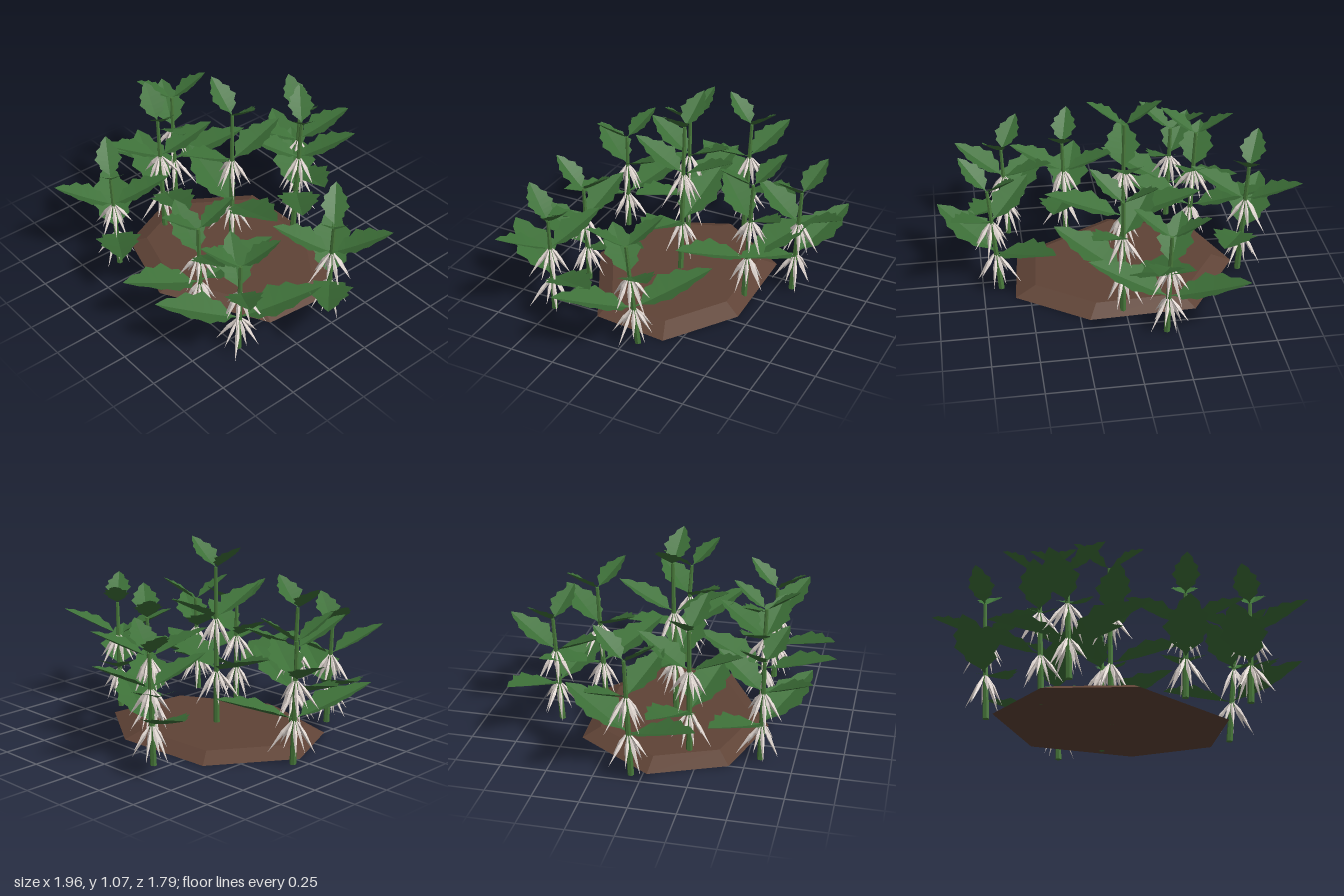
import * as THREE from 'three';

const material = (color) => new THREE.MeshStandardMaterial({
  color, flatShading: true, side: THREE.DoubleSide, roughness: 1,
});
const leafMat = material(0x3d7038);
const stemMat = material(0x47783a);
const spikeMat = material(0xe6dcd6);
const soilMat = material(0x5f4336);

// Toothed outline of half a leaf: [position along midrib, half width]
const OUTLINE = [[0, 0], [0.1, 0.1], [0.22, 0.68], [0.31, 0.66], [0.42, 1],
  [0.54, 0.74], [0.63, 0.82], [0.74, 0.48], [0.85, 0.4], [1, 0]];

// Leaf pointing along +x, rising to its tip and folded up along the midrib
function leafGeometry(length, width, rise) {
  const point = (i, side) => {
    const [t, w] = OUTLINE[i];
    const h = w * width / 2;
    const out = side === 0 ? 0 : h;
    return [t * length - out * 0.1, rise * Math.pow(t, 1.15) + out * 0.3, side * out];
  };
  const pos = [];
  for (const side of [1, -1]) {
    for (let i = 0; i < OUTLINE.length - 1; i++) {
      const a = point(i, 0), b = point(i + 1, 0), c = point(i + 1, side), d = point(i, side);
      const quad = side > 0 ? [a, d, c, a, c, b] : [a, c, d, a, b, c];
      pos.push(...quad.flat());
    }
  }
  const geo = new THREE.BufferGeometry();
  geo.setAttribute('position', new THREE.Float32BufferAttribute(pos, 3));
  geo.computeVertexNormals();
  return geo;
}

// Leaf pairs from bottom to top: height as a share of the stem, turn, spikes below
const TIERS = [
  { at: 0.38, turn: 0, spikes: 8, geo: leafGeometry(0.43, 0.25, 0.15) },
  { at: 0.70, turn: Math.PI / 2, spikes: 8, geo: leafGeometry(0.31, 0.2, 0.15) },
  { at: 1.00, turn: 0, spikes: 0, geo: leafGeometry(0.2, 0.15, 0.14) },
];

// Hanging spindle with its narrow end at the origin
const spikeGeo = new THREE.LatheGeometry(
  [[0, -0.2], [0.012, -0.08], [0.002, 0]].map(([x, y]) => new THREE.Vector2(x, y)), 4);

// Plants: base x, base z, lean x, lean z, stem height, direction of lowest leaf (x, z)
const PLANTS = [
  [-0.19, -0.58, -0.01, -0.03, 0.61, -0.39, -0.15],
  [0.015, -0.38, 0.005, -0.04, 0.72, 0.35, 0.27],
  [-0.69, -0.06, -0.03, -0.02, 0.67, 0.19, -0.39],
  [-0.45, 0.20, -0.03, 0.0, 0.75, 0.40, 0.13],
  [-0.04, 0.04, -0.01, -0.02, 0.93, 0.42, 0.04],
  [0.65, -0.06, 0.05, 0.03, 0.61, 0.30, 0.30],
  [-0.39, 0.57, -0.02, 0.01, 0.58, 0.38, 0.22],
  [0.23, 0.48, 0.01, 0.01, 0.58, -0.10, 0.40],
  [0.57, 0.50, 0.02, 0.0, 0.56, -0.22, 0.37],
];

function makePlant([x, z, leanX, leanZ, height, dirX, dirZ], index) {
  const plant = new THREE.Group();
  plant.name = 'plant';
  plant.position.set(x, 0, z);
  const along = (t) => new THREE.Vector3(leanX * t, height * t, leanZ * t);

  // Leaning stem
  const stemGeo = new THREE.CylinderGeometry(0.01, 0.018, height, 6);
  stemGeo.translate(0, height / 2, 0);
  const p = stemGeo.attributes.position;
  for (let i = 0; i < p.count; i++) {
    const t = p.getY(i) / height;
    p.setX(i, p.getX(i) + leanX * t);
    p.setZ(i, p.getZ(i) + leanZ * t);
  }
  const stem = new THREE.Mesh(stemGeo, stemMat);
  stem.name = 'stem';
  plant.add(stem);

  const heading = Math.atan2(-dirZ, dirX);
  for (const tier of TIERS) {
    const whorl = new THREE.Group();
    whorl.name = 'leafTier';
    whorl.position.copy(along(tier.at));
    whorl.rotation.y = heading + tier.turn;

    // Opposite pair of leaves
    for (const turn of [0, Math.PI]) {
      const leaf = new THREE.Mesh(tier.geo, leafMat);
      leaf.name = 'leaf';
      leaf.rotation.y = turn;
      whorl.add(leaf);
    }

    // Pale drooping spikes around the stem
    for (let i = 0; i < tier.spikes; i++) {
      const arm = new THREE.Group();
      arm.name = 'spikeArm';
      arm.rotation.y = (i + 0.3 * (index % 3)) / tier.spikes * Math.PI * 2;
      const spike = new THREE.Mesh(spikeGeo, spikeMat);
      spike.name = 'flowerSpike';
      spike.position.set(0.008, -0.005, 0);
      spike.rotation.z = [0.62, 0.38, 0.5][(i + index) % 3];
      spike.scale.y = [0.9, 1.1, 0.8, 1][(i + index) % 4];
      arm.add(spike);
      whorl.add(arm);
    }
    plant.add(whorl);
  }
  return plant;
}

// Low seven-sided soil patch with sloping rim
function makeSoil() {
  const rim = [[0.54, 0.25], [0.58, -0.17], [0.2, -0.43], [-0.38, -0.41],
    [-0.67, 0.02], [-0.5, 0.42], [-0.03, 0.56]];
  const cx = -0.045, cz = 0.07, h = 0.045, inner = 0.82;
  const pos = [];
  rim.forEach(([ax, az], i) => {
    const [bx, bz] = rim[(i + 1) % rim.length];
    const top = (x, z) => [cx + (x - cx) * inner, h, cz + (z - cz) * inner];
    const a = [ax, 0, az], b = [bx, 0, bz], ta = top(ax, az), tb = top(bx, bz);
    pos.push(...[a, b, tb, a, tb, ta, ta, tb, [cx, h, cz], b, a, [cx, 0, cz]].flat());
  });
  const geo = new THREE.BufferGeometry();
  geo.setAttribute('position', new THREE.Float32BufferAttribute(pos, 3));
  geo.computeVertexNormals();
  const soil = new THREE.Mesh(geo, soilMat);
  soil.name = 'soil';
  return soil;
}

export function createModel() {
  const model = new THREE.Group();
  model.name = 'plantPatch';
  model.add(makeSoil());
  PLANTS.forEach((spec, i) => model.add(makePlant(spec, i)));
  return model;
}
